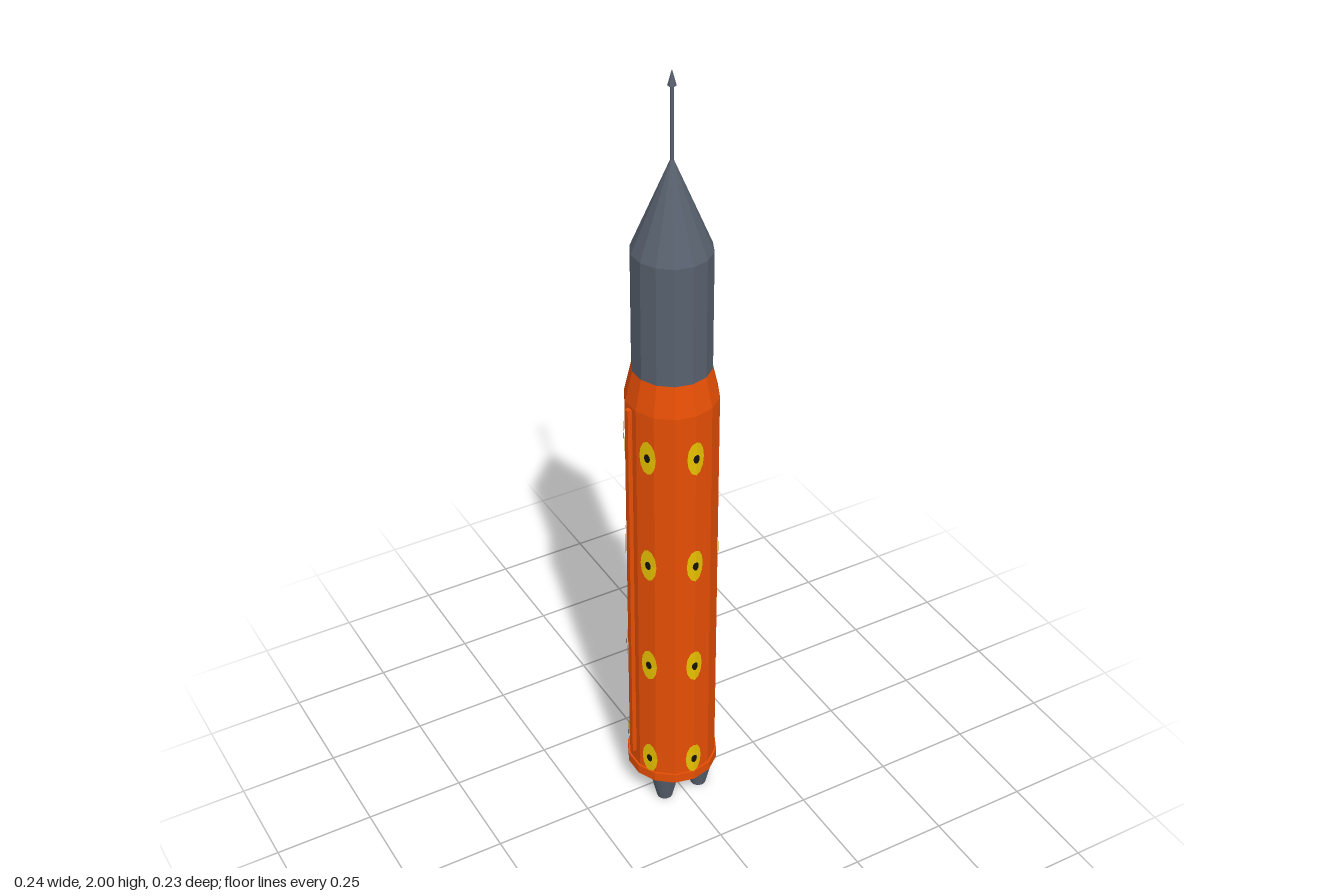
import * as THREE from 'three';

const SIDES = 14;
const BODY_R = 0.111;

export function createModel() {
  const rocket = new THREE.Group();
  rocket.name = 'rocket';

  const flat = (name, color) => {
    const m = new THREE.MeshStandardMaterial({ color, flatShading: true });
    m.name = name;
    return m;
  };
  const orange = flat('orange', 0xe64e04);
  const grey = flat('slate grey', 0x58616e);
  const yellow = flat('yellow', 0xf2c800);
  const black = flat('black', 0x14120c);

  const add = (name, geometry, material, x = 0, y = 0, z = 0) => {
    const mesh = new THREE.Mesh(geometry, material);
    mesh.name = name;
    mesh.position.set(x, y, z);
    rocket.add(mesh);
    return mesh;
  };
  // Upright tapered section between two heights
  const section = (name, material, rBottom, rTop, y0, y1, sides = SIDES, x = 0, z = 0) =>
    add(name, new THREE.CylinderGeometry(rTop, rBottom, y1 - y0, sides), material, x, (y0 + y1) / 2, z);

  // Stacked hull
  section('baseRing', orange, 0.116, 0.116, 0.084, 0.11);
  section('enginePlate', grey, 0.108, 0.108, 0.082, 0.09);
  section('body', orange, BODY_R, BODY_R, 0.09, 1.203);
  section('shoulder', orange, BODY_R, 0.094, 1.203, 1.28);
  section('upperStage', grey, 0.094, 0.094, 1.28, 1.58);
  section('noseCone', grey, 0.094, 0.004, 1.58, 1.795);

  // Antenna
  section('mast', grey, 0.004, 0.004, 1.785, 1.97, 6);
  section('mastTip', grey, 0.01, 0.0005, 1.965, 2, 6);

  // Four engine bells
  for (const x of [-0.05, 0.05]) {
    for (const z of [-0.05, 0.05]) section('engineBell', grey, 0.02, 0.039, 0, 0.086, 24, x, z);
  }

  // Side rails
  for (const s of [-1, 1]) {
    add('sideRail', new THREE.BoxGeometry(0.014, 1.05, 0.013), orange, s * 0.112, 0.67, 0);
  }

  // Distance from the axis to the faceted hull at an angle
  const step = (Math.PI * 2) / SIDES;
  const hullRadius = (a) => {
    const t = ((a % step) + step) % step;
    return (BODY_R * Math.cos(step / 2)) / Math.cos(t - step / 2);
  };

  // Oval plate wrapped onto the hull
  const ovalGeometry = (angle, halfWidth, halfHeight, lift) => {
    const g = new THREE.CircleGeometry(1, 12);
    const p = g.attributes.position;
    for (let i = 0; i < p.count; i++) {
      const a = angle + (p.getX(i) * halfWidth) / BODY_R;
      const r = hullRadius(a) + lift;
      p.setXYZ(i, Math.sin(a) * r, p.getY(i) * halfHeight, Math.cos(a) * r);
    }
    g.computeVertexNormals();
    return g;
  };

  // Six spots with dark centres in each of four rows
  for (let k = 0; k < 6; k++) {
    const angle = (k * Math.PI) / 3;
    const spot = ovalGeometry(angle, 0.022, 0.046, 0.003);
    const centre = ovalGeometry(angle, 0.008, 0.012, 0.0045);
    for (const y of [0.154, 0.465, 0.777, 1.088]) {
      add('spot', spot, yellow, 0, y, 0);
      add('spotCentre', centre, black, 0, y, 0);
    }
  }

  return rocket;
}
